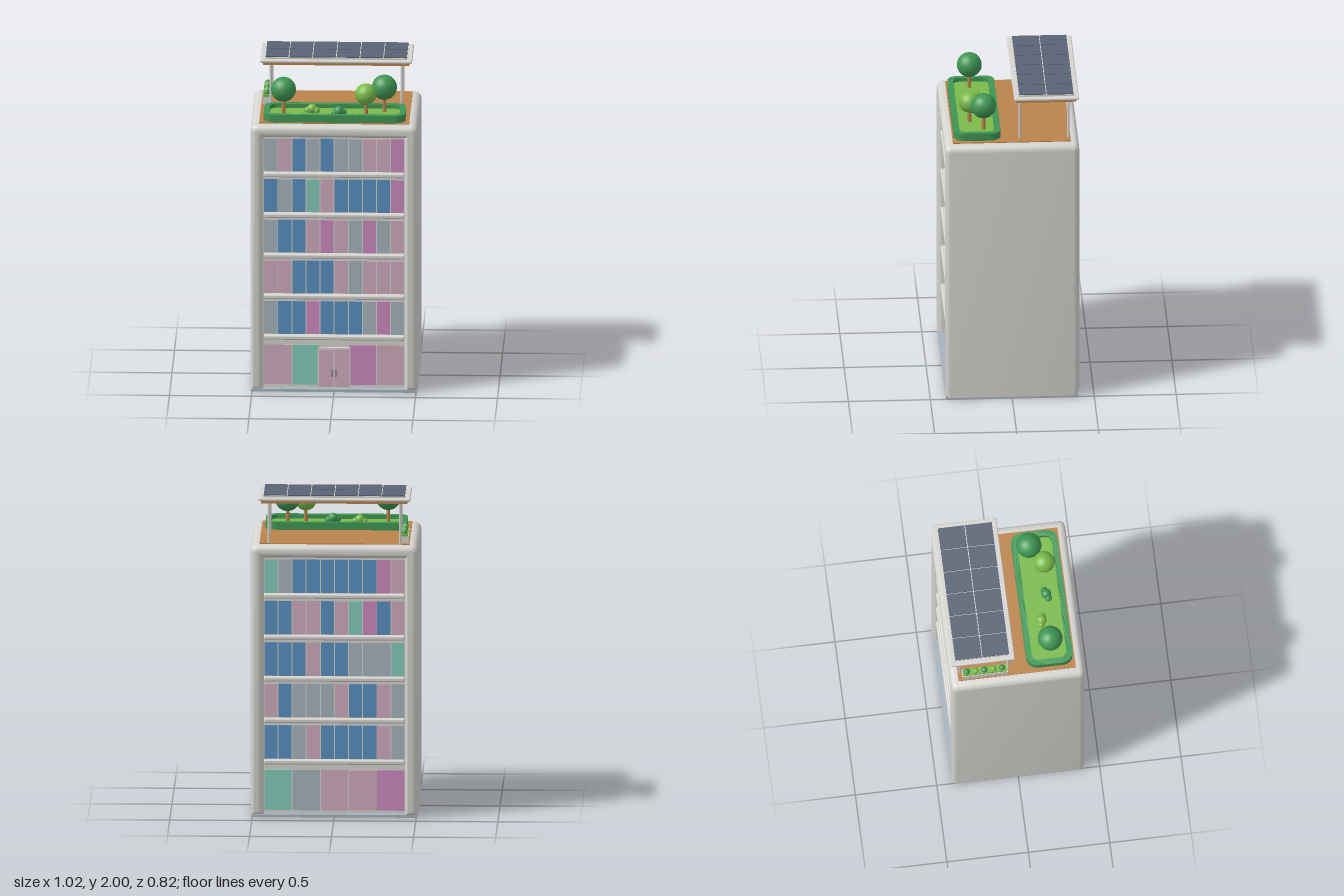
import * as THREE from 'three';
import { toCreasedNormals } from 'three/addons/utils/BufferGeometryUtils.js';
import { RoundedBoxGeometry } from 'three/addons/geometries/RoundedBoxGeometry.js';

const mat = (name, color) => {
  const m = new THREE.MeshStandardMaterial({ color });
  m.name = name;
  return m;
};

export function createModel() {
  const wall = mat('pale wall', 0xd6d4d0);
  const grey = mat('grey glass', 0xa6b4bd);
  const pink = mat('pink glass', 0xcfabbc);
  const blue = mat('blue glass', 0x5a8ec0);
  const mint = mat('mint glass', 0x82ccb8);
  const magenta = mat('magenta glass', 0xcb8abd);
  const darkGreen = mat('dark green', 0x3f9654);
  const lightGreen = mat('light green', 0x7aba4a);
  const wood = mat('wood', 0xba834a);
  const slate = mat('slate', 0x596475);
  const glass = { G: grey, P: pink, B: blue, T: mint, M: magenta };

  const model = new THREE.Group();
  model.name = 'building';
  const group = (name) => {
    const g = new THREE.Group();
    g.name = name;
    model.add(g);
    return g;
  };
  const add = (parent, name, geometry, material, x = 0, y = 0, z = 0) => {
    const m = new THREE.Mesh(geometry, material);
    m.name = name;
    m.position.set(x, y, z);
    parent.add(m);
    return m;
  };
  // Box given by its lower and upper bounds
  const box = (parent, name, material, x0, x1, y0, y1, z0, z1) =>
    add(parent, name, new THREE.BoxGeometry(x1 - x0, y1 - y0, z1 - z0), material,
      (x0 + x1) / 2, (y0 + y1) / 2, (z0 + z1) / 2);
  const ball = (parent, name, material, r, x, y, z) =>
    add(parent, name, new THREE.SphereGeometry(r, 28, 18), material, x, y, z);

  // Outer frame: an upside-down U, rounded by its bevel
  const bevel = 0.035, ox = 0.475, ix = 0.465, oy = 1.655, iy = 1.645, r = 0.008, foot = 0.047;
  const u = new THREE.Shape();
  u.moveTo(ox, foot);
  u.lineTo(ox, oy - r);
  u.absarc(ox - r, oy - r, r, 0, Math.PI / 2, false);
  u.lineTo(-ox + r, oy);
  u.absarc(-ox + r, oy - r, r, Math.PI / 2, Math.PI, false);
  u.lineTo(-ox, foot);
  u.lineTo(-ix, foot);
  u.lineTo(-ix, iy);
  u.lineTo(ix, iy);
  u.lineTo(ix, foot);
  u.closePath();
  const frame = new THREE.ExtrudeGeometry(u, {
    depth: 0.82 - 2 * bevel, bevelSize: bevel, bevelThickness: bevel, bevelSegments: 6, curveSegments: 6,
  });
  frame.translate(0, 0, -0.41 + bevel);
  add(model, 'outerFrame', toCreasedNormals(frame, 0.6), wall);

  // Base and inner body
  box(model, 'base', grey, -0.505, 0.505, 0.003, 0.02, -0.405, 0.405);
  box(model, 'underside', wall, -0.465, 0.465, 0, 0.004, -0.365, 0.365);
  box(model, 'body', wall, -0.44, 0.44, 0.015, 1.63, -0.35, 0.35);

  // Floor ledges
  const ledges = group('floorLedges');
  const pitch = 0.2575, ledge = new RoundedBoxGeometry(0.86, 0.028, 0.78, 3, 0.009);
  for (let i = 0; i < 5; i++) add(ledges, 'floorLedge', ledge, wall, 0, 0.34 + i * pitch, 0);

  // Windows, listed from +y down and along each face from its own left end
  const facade = (name, rows, side) => {
    const g = group(name);
    rows.forEach((row, j) => {
      const ground = j === rows.length - 1;
      const step = 0.86 / row.length;
      const h = ground ? 0.25 : 0.207;
      const y = ground ? 0.162 : 1.49 - j * pitch;
      [...row].forEach((key, i) => {
        if (!glass[key]) return;
        const x = side * (-0.43 + (i + 0.5) * step);
        add(g, 'window', new THREE.BoxGeometry(step - 0.006, h, 0.008), glass[key], x, y, side * 0.353);
      });
    });
  };
  facade('frontWindows',
    ['GPBGBGGPPM', 'BGBTPBBBBM', 'GBBPMPGMGP', 'PPBBBPGPPP', 'GBBMBBBGMG', 'PT-MP'], 1);
  facade('backWindows',
    ['TGBBBBBBMP', 'BBPPBPTMBP', 'BBBPBBGGGT', 'PBGGGPBBPG', 'BBGPBBBBPG', 'TGPPM'], -1);

  // Double entrance door
  const door = group('entranceDoor');
  box(door, 'doorFrame', wall, -0.1, 0.1, 0.02, 0.273, 0.345, 0.366);
  for (const s of [-1, 1]) {
    add(door, 'doorLeaf', new THREE.BoxGeometry(0.09, 0.238, 0.008), pink, s * 0.048, 0.145, 0.368);
    add(door, 'doorHandle', new THREE.BoxGeometry(0.006, 0.045, 0.01), slate, s * 0.012, 0.115, 0.376);
  }

  // Roof deck
  box(model, 'roofDeck', wood, -0.457, 0.457, 1.67, 1.695, -0.36, 0.36);

  // Garden: wavy hedge ring around a lawn
  const garden = group('roofGarden');
  const roundedRect = (w, h, rad) => {
    const s = new THREE.Shape();
    s.absarc(w - rad, h - rad, rad, 0, Math.PI / 2, false);
    s.absarc(-w + rad, h - rad, rad, Math.PI / 2, Math.PI, false);
    s.absarc(-w + rad, -h + rad, rad, Math.PI, Math.PI * 1.5, false);
    s.absarc(w - rad, -h + rad, rad, Math.PI * 1.5, Math.PI * 2, false);
    s.closePath();
    return s;
  };
  const ring = new THREE.Shape(roundedRect(0.432, 0.143, 0.065).getSpacedPoints(120).slice(0, -1));
  ring.holes.push(new THREE.Path(roundedRect(0.397, 0.107, 0.04).getSpacedPoints(120).slice(0, -1)));
  const hedge = new THREE.ExtrudeGeometry(ring, { depth: 0.047, bevelEnabled: false });
  hedge.rotateX(-Math.PI / 2);
  const p = hedge.attributes.position;
  for (let i = 0; i < p.count; i++) {
    if (p.getY(i) > 0.03) p.setY(i, p.getY(i) + 0.005 * Math.sin(p.getX(i) * 32) * Math.cos(p.getZ(i) * 12));
  }
  add(garden, 'hedge', toCreasedNormals(hedge, 0.7), darkGreen, 0, 1.694, 0.208);
  const lawn = new THREE.ExtrudeGeometry(roundedRect(0.41, 0.12, 0.05), { depth: 0.022, bevelEnabled: false });
  lawn.rotateX(-Math.PI / 2);
  add(garden, 'lawn', lawn, lightGreen, 0, 1.694, 0.208);

  // Trees: x, y, z, crown radius, colour
  for (const [x, y, z, rad, m] of [
    [-0.313, 1.868, 0.22, 0.076, darkGreen],
    [0.19, 1.848, 0.245, 0.066, lightGreen],
    [0.3, 1.87, 0.165, 0.077, darkGreen],
  ]) {
    const trunk = new THREE.CylinderGeometry(0.009, 0.012, y - 1.71, 12);
    add(garden, 'treeTrunk', trunk, wood, x, (y + 1.71) / 2, z);
    ball(garden, 'treeCrown', m, rad, x, y, z);
  }

  // Small shrubs made of three balls
  for (const [x, z, tilt, m] of [[-0.14, 0.188, 0.008, lightGreen], [0.024, 0.237, -0.008, darkGreen]]) {
    ball(garden, 'shrub', m, 0.031, x, 1.737, z);
    ball(garden, 'shrub', m, 0.021, x - 0.026, 1.727, z + 0.003 - tilt);
    ball(garden, 'shrub', m, 0.022, x + 0.026, 1.727, z + tilt);
  }

  // Planter under the canopy
  const planter = group('planterBox');
  box(planter, 'planter', wall, -0.45, -0.4, 1.695, 1.737, -0.335, -0.055);
  box(planter, 'planterGrass', lightGreen, -0.446, -0.404, 1.737, 1.752, -0.331, -0.059);
  for (let i = 0; i < 5; i++) {
    ball(planter, 'planterShrub', i % 2 ? lightGreen : darkGreen, 0.019, -0.425, 1.757, -0.09 - i * 0.054);
  }

  // Solar canopy on four posts
  const canopy = group('solarCanopy');
  const cz = -0.212;
  for (const x of [-0.4, 0.4]) for (const z of [-0.05, -0.347]) {
    add(canopy, 'post', new THREE.CylinderGeometry(0.008, 0.008, 0.27, 16), wall, x, 1.825, z);
  }
  box(canopy, 'ceiling', wood, -0.446, 0.446, 1.95, 1.967, cz - 0.184, cz + 0.184);
  add(canopy, 'canopyFrame', new RoundedBoxGeometry(0.926, 0.018, 0.395, 3, 0.007), wall, 0, 1.974, cz);
  box(canopy, 'panelBed', wall, -0.432, 0.432, 1.98, 1.994, cz - 0.168, cz + 0.168);
  for (let i = 0; i < 6; i++) for (const s of [-1, 1]) {
    add(canopy, 'solarPanel', new THREE.BoxGeometry(0.139, 0.012, 0.163), slate,
      (i - 2.5) * 0.1443, 1.994, cz + s * 0.084);
  }
  return model;
}
